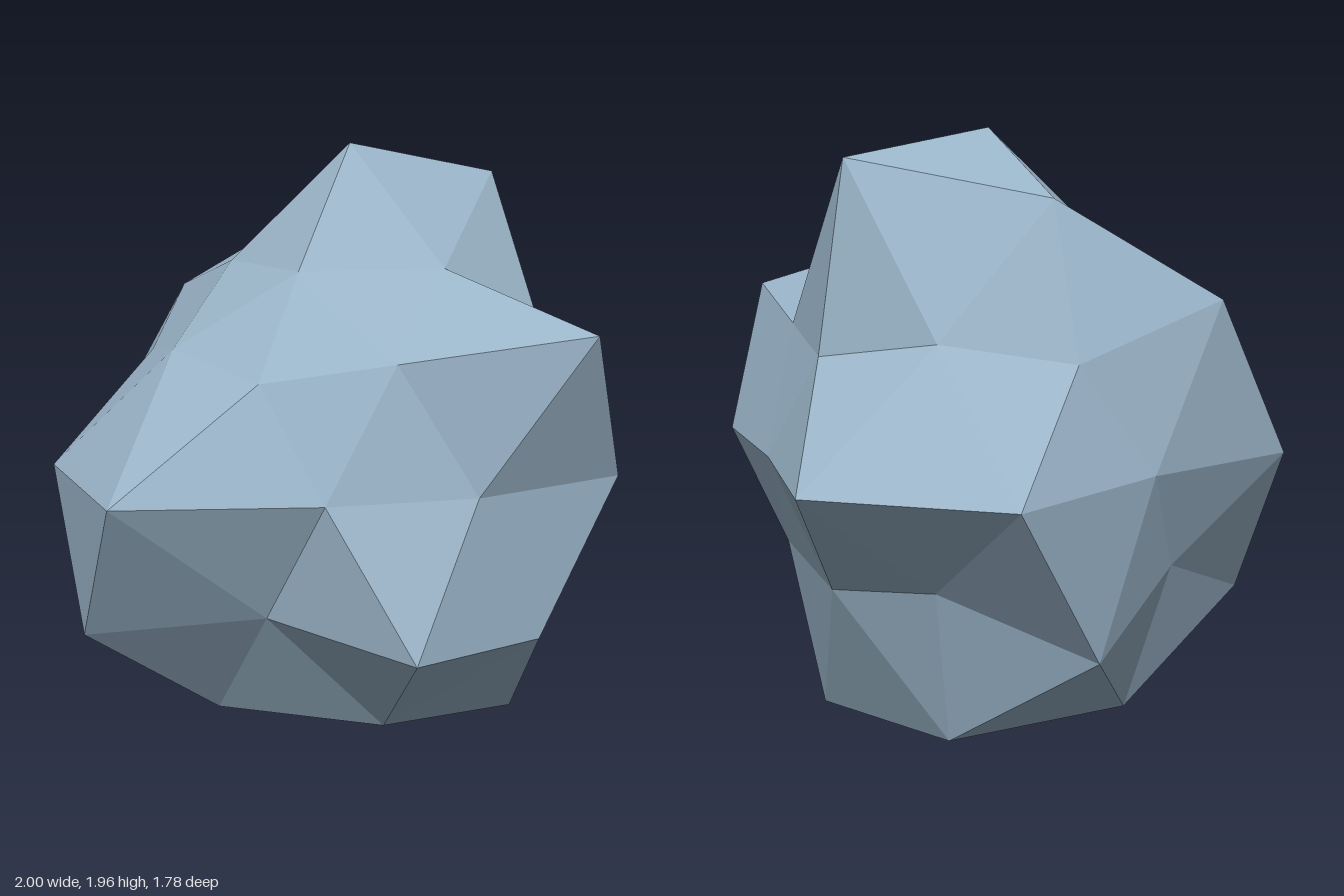
import * as THREE from 'three';

// Shortest reach of the rock; knobbly points stick out further.
const R = 0.765;
const CENTRE = [0.015, 0.923, -0.04];

// A ring of points: elevation sine, first azimuth (degrees), and the reach of each point.
function ring(sinE, start, reach) {
  const cosE = Math.sqrt(1 - sinE * sinE);
  return reach.map((r, i) => {
    const a = THREE.MathUtils.degToRad(start + (360 / reach.length) * i);
    return new THREE.Vector3(Math.cos(a) * cosE, sinE, Math.sin(a) * cosE).multiplyScalar(r);
  });
}

function rockGeometry() {
  // Rings of a once-divided icosahedron with a vertex at each pole
  const top = new THREE.Vector3(0, 1.04, 0);
  const crown = ring(0.8507, 0, [1.105, R, R, R, 0.963]);
  const upper = ring(0.4472, 0, [R, 1.095, R, R, R]);
  const upperMid = ring(0.5257, 36, [R, R, R, 0.98, R]);
  const equator = ring(0, 18, [R, 0.937, R, R, 1.067, 1.005, 0.986, 0.77, 1.055, 1.036]);
  const lowerMid = ring(-0.5257, 0, [R, 0.94, R, 1.025, 0.99]);
  const lower = ring(-0.4472, 36, [R, 1.01, 1.1, R, R]);
  const base = ring(-0.8507, 36, [1.085, 0.95, 0.985, 1.0, 1.02]);
  const bottom = new THREE.Vector3(0, -R, 0);

  const points = [];
  const normal = new THREE.Vector3();
  // Adds a triangle, turned to face away from the centre
  const tri = (a, b, c) => {
    const outward = normal.crossVectors(b, c).dot(a) > 0;
    points.push(a, ...(outward ? [b, c] : [c, b]));
  };
  // Adds a big triangle split in four: corners a, b, c and edge points ab, bc, ca
  const quad = (a, b, c, ab, bc, ca) => {
    tri(a, ab, ca);
    tri(b, ab, bc);
    tri(c, bc, ca);
    tri(ab, bc, ca);
  };

  for (let k = 0; k < 5; k++) {
    const n = (k + 1) % 5;
    const e0 = equator[(2 * k + 9) % 10], e1 = equator[2 * k], e2 = equator[2 * k + 1];
    quad(top, upper[k], upper[n], crown[k], upperMid[k], crown[n]);
    quad(upper[k], upper[n], lower[k], upperMid[k], e2, e1);
    quad(lower[(k + 4) % 5], lower[k], upper[k], lowerMid[k], e1, e0);
    quad(bottom, lower[k], lower[n], base[k], lowerMid[n], base[n]);
  }

  const geometry = new THREE.BufferGeometry().setFromPoints(points);
  geometry.computeVertexNormals(); // unshared corners give flat facets
  return geometry;
}

export function createModel() {
  const stone = new THREE.MeshStandardMaterial({ color: 0x9ab4c8 });
  stone.name = 'blueGreyStone';
  stone.flatShading = true;

  const rock = new THREE.Mesh(rockGeometry(), stone);
  rock.name = 'rock';
  rock.position.set(...CENTRE);

  const model = new THREE.Group();
  model.name = 'boulder';
  model.add(rock);
  return model;
}
